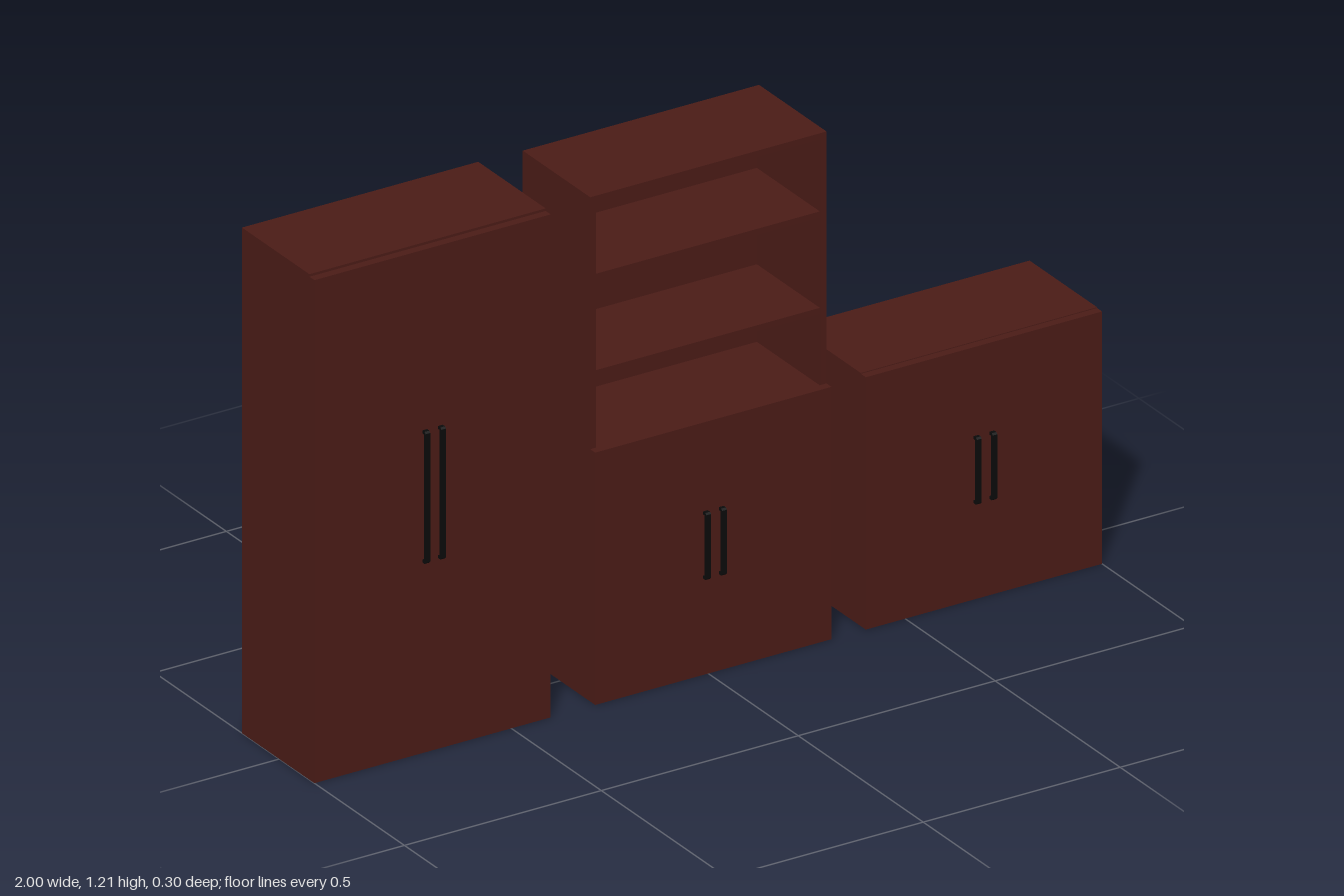
import * as THREE from 'three';

const wood = new THREE.MeshStandardMaterial({ color: 0x4a1b16 });
const black = new THREE.MeshStandardMaterial({ color: 0x0a0a0a });

const BACK = -0.15, FRONT = 0.12, DOOR = 0.14, T = 0.015;

// Board given by its lower and upper corners
function board(name, [x0, y0, z0], [x1, y1, z1]) {
  const mesh = new THREE.Mesh(new THREE.BoxGeometry(x1 - x0, y1 - y0, z1 - z0), wood);
  mesh.position.set((x0 + x1) / 2, (y0 + y1) / 2, (z0 + z1) / 2);
  mesh.name = name;
  return mesh;
}

// Bracket handle: upright bar with bevelled corners and two short feet
function handle(x, y0, y1) {
  const w = 0.012, d = 0.013, t = 0.007, c = 0.004, h = y1 - y0;
  const profile = new THREE.Shape([
    [0, 0], [d - c, 0], [d, c], [d, h - c], [d - c, h], [0, h],
    [0, h - t], [d - t, h - t], [d - t, t], [0, t],
  ].map(([a, b]) => new THREE.Vector2(a, b)));
  const geo = new THREE.ExtrudeGeometry(profile, { depth: w, bevelEnabled: false });
  geo.rotateY(-Math.PI / 2);
  const mesh = new THREE.Mesh(geo, black);
  mesh.position.set(x + w / 2, y0, DOOR);
  mesh.name = 'handle';
  return mesh;
}

// Closed carcass with a pair of doors meeting at the middle
function cabinet(name, x0, x1, height, doorTop, handleY0, handleY1) {
  const group = new THREE.Group();
  group.name = name;
  const mid = (x0 + x1) / 2;
  group.add(
    board('carcass', [x0, 0, BACK], [x1, height, FRONT]),
    board('rightDoor', [x0, 0, FRONT], [mid, doorTop, DOOR]),
    board('leftDoor', [mid, 0, FRONT], [x1, doorTop, DOOR]),
  );
  for (const s of [-1, 1]) group.add(handle(mid + s * 0.02, handleY0, handleY1));
  return group;
}

// Open shelving standing on a cabinet
function shelving(x0, x1, y0, y1, shelfHeights) {
  const group = new THREE.Group();
  group.name = 'openShelving';
  group.add(
    board('rightSide', [x0, y0, BACK], [x0 + T, y1, FRONT]),
    board('leftSide', [x1 - T, y0, BACK], [x1, y1, FRONT]),
    board('topPanel', [x0 + T, y1 - T, BACK], [x1 - T, y1, FRONT]),
    board('backPanel', [x0 + T, y0, BACK], [x1 - T, y1 - T, BACK + T]),
  );
  for (const y of shelfHeights) {
    group.add(board('shelf', [x0 + T, y - T, BACK + T], [x1 - T, y, FRONT - 0.003]));
  }
  return group;
}

export function createModel() {
  const model = new THREE.Group();
  model.name = 'cabinetSet';
  const bookcase = new THREE.Group();
  bookcase.name = 'bookcase';
  bookcase.add(
    cabinet('baseCabinet', -0.287, 0.313, 0.6, 0.602, 0.23, 0.39),
    shelving(-0.287, 0.313, 0.6, 1.203, [0.785, 1.015]),
  );
  model.add(
    cabinet('tallCabinet', -1, -0.4, 1.206, 1.2, 0.455, 0.77),
    bookcase,
    cabinet('lowCabinet', 0.4, 1, 0.604, 0.602, 0.23, 0.39),
  );
  return model;
}
